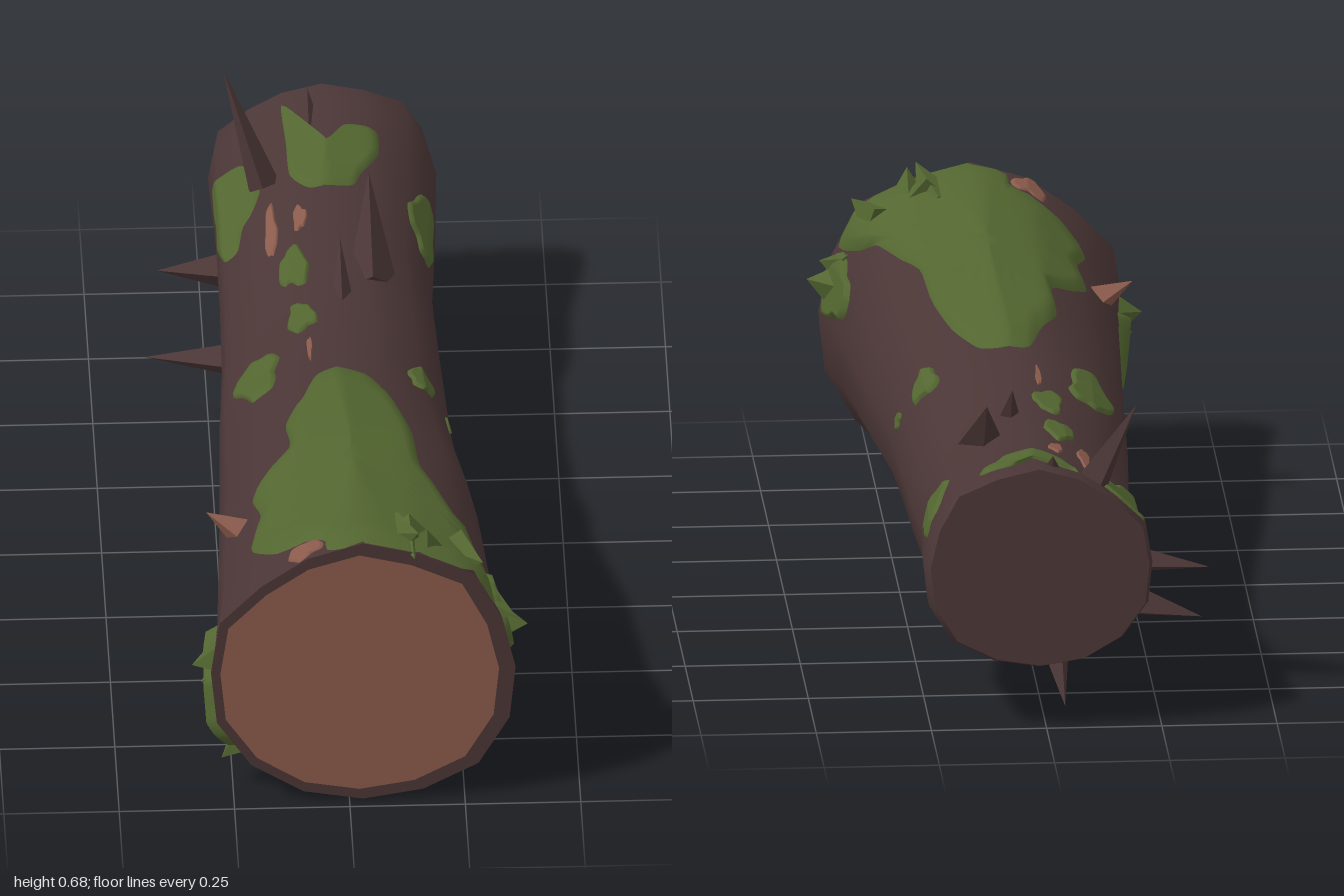
import * as THREE from 'three';

const bark = new THREE.MeshStandardMaterial({ color: 0x4b3636, side: THREE.DoubleSide });
bark.name = 'dark bark';
const moss = new THREE.MeshStandardMaterial({ color: 0x536630, side: THREE.DoubleSide });
moss.name = 'green moss';
const wood = new THREE.MeshStandardMaterial({ color: 0x8b5b4c, side: THREE.DoubleSide });
wood.name = 'cut wood';

// Irregular outline: radii at even angles, starting at the top and turning towards +x
const RADII = [1, 0.98, 1.04, 0.99, 1, 1.04, 1.07, 1.03, 1.02, 1.03, 1.04, 1.04, 1, 1.02, 0.95, 0.96];
const N = RADII.length;
const profile = RADII.map((r, i) => {
  const a = (i / N) * Math.PI * 2;
  return [r * Math.sin(a), r * Math.cos(a)];
});

// Stations along the log: z, xMin, xMax, yMin, yMax
const STATIONS = [
  [0.97, -0.3, 0.36, 0.01, 0.67],
  [0.8, -0.28, 0.33, 0.032, 0.645],
  [0.4, -0.26, 0.3, 0.088, 0.595],
  [0.15, -0.25, 0.265, 0.092, 0.545],
  [0, -0.245, 0.255, 0.092, 0.515],
  [-0.25, -0.23, 0.245, 0.092, 0.495],
  [-0.5, -0.225, 0.235, 0.092, 0.505],
  [-0.72, -0.225, 0.25, 0.088, 0.53],
  [-0.92, -0.235, 0.26, 0.13, 0.575],
  [-0.975, -0.225, 0.25, 0.15, 0.575],
];

// Point on the log for an angle in degrees and a depth, lifted by an offset
function surf(deg, z, lift = 0) {
  let k = 0;
  while (k < STATIONS.length - 2 && z < STATIONS[k + 1][0]) k++;
  const A = STATIONS[k], B = STATIONS[k + 1];
  const f = THREE.MathUtils.clamp((z - A[0]) / (B[0] - A[0]), 0, 1);
  const [x0, x1, y0, y1] = [1, 2, 3, 4].map((i) => A[i] + (B[i] - A[i]) * f);
  const t = ((((deg / 360) * N) % N) + N) % N;
  const i = Math.floor(t), p = profile[i % N], q = profile[(i + 1) % N];
  const u = p[0] + (q[0] - p[0]) * (t - i), v = p[1] + (q[1] - p[1]) * (t - i);
  const slant = z < -0.72 ? ((-0.72 - z) / 0.255) * 0.025 * v : 0;
  return new THREE.Vector3(
    (x0 + x1) / 2 + u * ((x1 - x0) / 2 + lift),
    (y0 + y1) / 2 + v * ((y1 - y0) / 2 + lift),
    z + slant);
}

function meshFrom(points, index, material, name) {
  const g = new THREE.BufferGeometry().setFromPoints(points);
  g.setIndex(index);
  g.computeVertexNormals();
  const m = new THREE.Mesh(g, material);
  m.name = name;
  return m;
}

// Flat end disc; dir is +1 for the front and -1 for the back
function endDisc(z, scale, shift, dir, material, name) {
  const ring = Array.from({ length: N }, (_, i) => surf((i * 360) / N, z));
  const c = ring.reduce((s, p) => s.add(p), new THREE.Vector3()).divideScalar(N);
  const pts = ring.map((p) => p.sub(c).multiplyScalar(scale).add(c).add(shift));
  pts.push(c.clone().add(shift));
  const idx = [];
  for (let i = 0; i < N; i++) {
    const j = (i + 1) % N;
    idx.push(...(dir > 0 ? [N, j, i] : [N, i, j]));
  }
  return meshFrom(pts, idx, material, name);
}

// Thin skin that hugs the log inside a closed outline of [degrees, z]
function patch(outline, lift, material, name) {
  const M = 72, R = 10;
  const curve = new THREE.CatmullRomCurve3(
    outline.map(([a, z]) => new THREE.Vector3(a / 100, z, 0)), true, 'catmullrom', 0.35);
  const edge = curve.getPoints(M).slice(0, M);
  const c = edge.reduce((s, p) => s.add(p), new THREE.Vector3()).divideScalar(M);
  const pts = [surf(c.x * 100, c.y, lift)], idx = [];
  for (let r = 1; r <= R; r++) {
    edge.forEach((e) => {
      const p = c.clone().lerp(e, r / R);
      pts.push(surf(p.x * 100, Math.min(p.y, 0.968), r === R ? 0.001 : lift));
    });
  }
  for (let i = 0; i < M; i++) {
    const j = (i + 1) % M;
    idx.push(0, 1 + i, 1 + j);
    for (let r = 0; r < R - 1; r++) {
      const a = 1 + r * M, b = a + M;
      idx.push(a + i, b + i, b + j, a + i, b + j, a + j);
    }
  }
  // Turn the skin outwards
  let area = 0;
  edge.forEach((e, i) => { const n = edge[(i + 1) % M]; area += e.x * n.y - n.x * e.y; });
  if (area > 0) idx.reverse();
  return meshFrom(pts, idx, material, name);
}

// Ragged oval outline
function oval(a, z, ra, rz, seed) {
  return Array.from({ length: 14 }, (_, i) => {
    const t = (i / 14) * Math.PI * 2;
    const k = 1 + 0.14 * Math.sin(3 * t + seed) + 0.1 * Math.sin(5 * t + seed * 2.3);
    return [a + ra * k * Math.cos(t), z + rz * k * Math.sin(t)];
  });
}

// Faceted splinter from a base point to a tip
function spike(base, tip, radius, material, name, flat = 1) {
  const b = new THREE.Vector3(...base), d = new THREE.Vector3(...tip).sub(b);
  const g = new THREE.ConeGeometry(radius, d.length(), 4).toNonIndexed();
  g.scale(flat, 1, 1);
  g.computeVertexNormals();
  const m = new THREE.Mesh(g, material);
  m.position.copy(b).addScaledVector(d, 0.5);
  m.quaternion.setFromUnitVectors(new THREE.Vector3(0, 1, 0), d.normalize());
  m.name = name;
  return m;
}

export function createModel() {
  const group = new THREE.Group();
  group.name = 'mossyLog';

  // Bark tube
  const pts = [], idx = [];
  STATIONS.forEach(([z]) => {
    for (let i = 0; i < N; i++) pts.push(surf((i * 360) / N, z));
  });
  for (let s = 0; s < STATIONS.length - 1; s++) {
    for (let i = 0; i < N; i++) {
      const j = (i + 1) % N, a = s * N, b = a + N;
      idx.push(a + i, a + j, b + j, a + i, b + j, b + i);
    }
  }
  group.add(meshFrom(pts, idx, bark, 'barkTube'));

  // Cut ends
  group.add(endDisc(0.97, 1, new THREE.Vector3(), 1, bark, 'frontBarkRim'));
  group.add(endDisc(0.97, 0.915, new THREE.Vector3(-0.008, 0, 0.004), 1, wood, 'frontCutFace'));
  group.add(endDisc(-0.975, 1, new THREE.Vector3(), -1, bark, 'backEnd'));

  // Large moss blanket on top of the thick end
  group.add(patch([
    [0, 0.08], [15, 0.1], [25, 0.2], [30, 0.35], [31, 0.52], [38, 0.62], [46, 0.75], [56, 0.84],
    [62, 0.96], [30, 0.966], [-12, 0.966], [-16, 0.9], [-38, 0.86], [-52, 0.76], [-46, 0.65],
    [-51, 0.55], [-42, 0.48], [-29, 0.42], [-30, 0.3], [-19, 0.2], [-11, 0.1],
  ], 0.014, moss, 'topMoss'));

  // Forked moss near the thin end
  group.add(patch([
    [-22, -0.92], [-13, -0.86], [0, -0.78], [12, -0.84], [28, -0.84], [29, -0.77], [20, -0.7],
    [14, -0.65], [-8, -0.64], [-20, -0.7], [-21, -0.8],
  ], 0.009, moss, 'rearMoss'));

  // Scattered moss: angle, z, angular radius, z radius, lift
  [
    [75, 0.86, 12, 0.1, 0.014], [47, 0.04, 10, 0.05, 0.008], [75, 0.08, 5, 0.02, 0.006],
    [66, -0.65, 16, 0.1, 0.009], [145, -0.67, 11, 0.06, 0.008], [-62, -0.7, 19, 0.14, 0.009],
    [-45, 0, 14, 0.09, 0.009], [-20, -0.38, 9, 0.07, 0.008], [-17, -0.18, 8, 0.06, 0.008],
    [-112, 0.87, 24, 0.09, 0.025],
  ].forEach(([a, z, ra, rz, lift], i) =>
    group.add(patch(oval(a, z, ra, rz, i * 1.7), lift, moss, `mossPatch${i + 1}`)));

  // Bare wood where the bark is worn off
  [
    [-33, -0.54, 4, 0.09], [-15, -0.55, 4, 0.04], [-24, 0.925, 8, 0.035], [-13, -0.04, 1.5, 0.05],
  ].forEach(([a, z, ra, rz], i) =>
    group.add(patch(oval(a, z, ra, rz, i + 0.5), 0.006, wood, `bareWood${i + 1}`)));

  // Bark splinters: base, tip, radius, flatness
  [
    [[-0.12, 0.47, -0.71], [-0.205, 0.685, -0.85], 0.07, 0.5],
    [[-0.19, 0.21, -0.43], [-0.39, 0.195, -0.47], 0.05, 0.8],
    [[-0.19, 0.22, -0.76], [-0.35, 0.19, -0.81], 0.055, 0.8],
    [[-0.03, 0.15, -0.72], [-0.05, 0.008, -0.86], 0.06, 0.7],
    [[0.03, 0.46, -0.25], [0.03, 0.57, -0.36], 0.035, 0.8],
    [[0.1, 0.44, -0.36], [0.1, 0.6, -0.57], 0.07, 0.8],
    [[-0.02, 0.52, -0.84], [-0.02, 0.592, -0.91], 0.04, 0.8],
  ].forEach(([b, t, r, f], i) => group.add(spike(b, t, r, bark, `splinter${i + 1}`, f)));
  group.add(spike([-0.18, 0.44, 0.62], [-0.297, 0.51, 0.6], 0.055, wood, 'bareSplinter'));

  // Moss tufts at the rim of the thick end
  [
    [[0.1, 0.6, 0.85], [0.15, 0.68, 0.95], 0.06], [[0.17, 0.58, 0.9], [0.17, 0.675, 0.93], 0.06],
    [[0.13, 0.63, 0.86], [0.14, 0.64, 0.99], 0.04], [[0.23, 0.57, 0.86], [0.29, 0.6, 0.95], 0.05],
    [[0.3, 0.41, 0.9], [0.388, 0.425, 0.93], 0.07], [[0.29, 0.46, 0.9], [0.36, 0.46, 0.95], 0.05],
    [[-0.25, 0.34, 0.9], [-0.34, 0.335, 0.93], 0.07], [[-0.25, 0.3, 0.88], [-0.32, 0.29, 0.93], 0.05],
    [[-0.19, 0.15, 0.88], [-0.275, 0.078, 0.91], 0.07],
  ].forEach(([b, t, r], i) => group.add(spike(b, t, r, moss, `mossTuft${i + 1}`)));

  return group;
}
